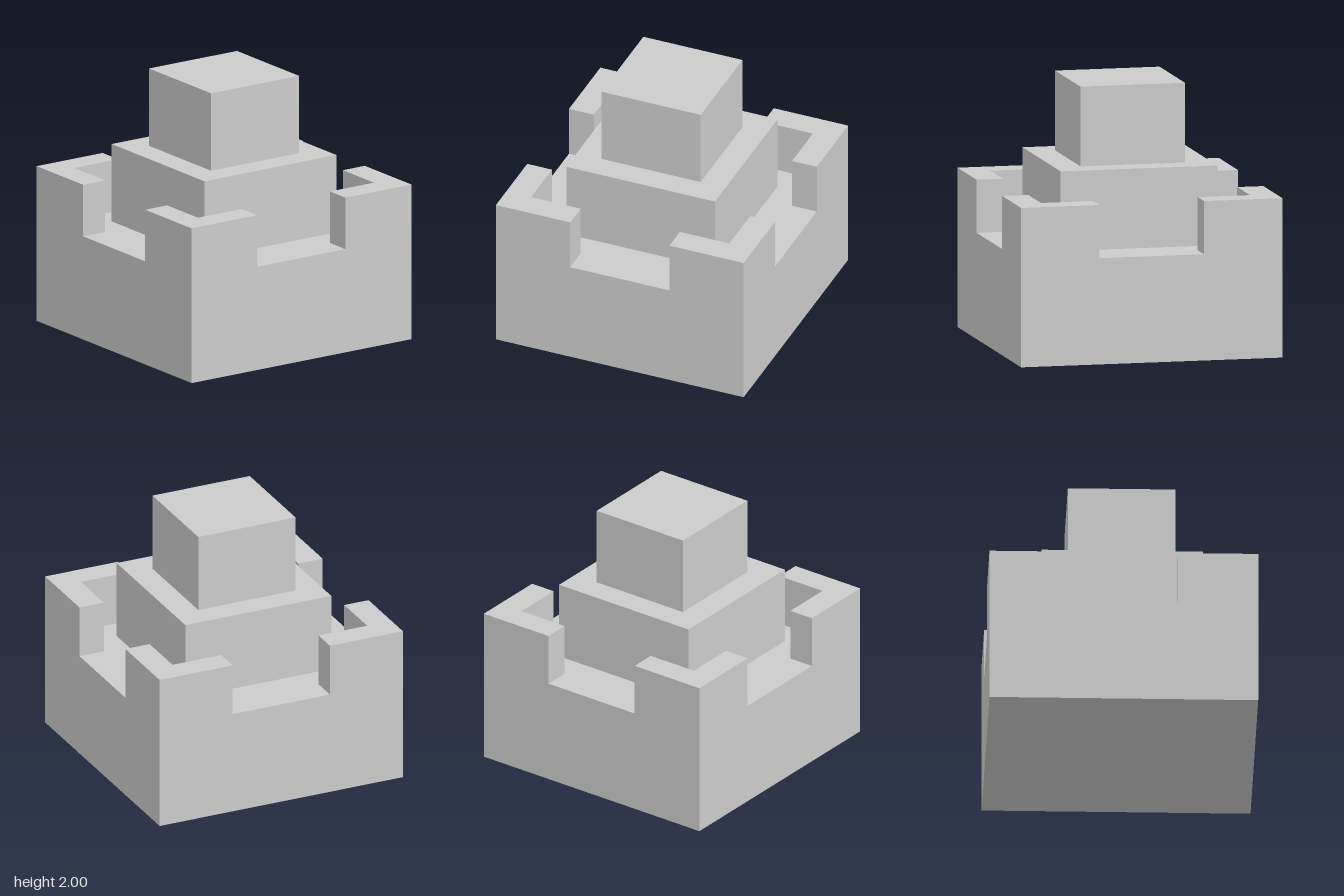
import * as THREE from 'three';

export function createModel() {
  const model = new THREE.Group();
  const material = new THREE.MeshStandardMaterial({ color: 0xcccccc, flatShading: true });

  // Square block of a given width standing between two heights
  function addBlock(name, width, bottom, top) {
    const mesh = new THREE.Mesh(new THREE.BoxGeometry(width, top - bottom, width), material);
    mesh.position.y = (bottom + top) / 2;
    mesh.name = name;
    model.add(mesh);
  }

  addBlock('base', 2, 0, 0.8);
  addBlock('innerKeep', 1.2, 0.8, 1.4);
  addBlock('tower', 0.8, 1.4, 2);

  // L-shaped corner wall, repeated at the four corners to leave a gap in each side
  const corner = new THREE.Shape(
    [[1, 1], [0.4, 1], [0.4, 0.8], [0.8, 0.8], [0.8, 0.4], [1, 0.4]].map(([x, y]) => new THREE.Vector2(x, y))
  );
  const wall = new THREE.ExtrudeGeometry(corner, { depth: 0.4, bevelEnabled: false });
  wall.rotateX(-Math.PI / 2);

  const names = ['BackLeft', 'BackRight', 'FrontRight', 'FrontLeft'];
  names.forEach((name, i) => {
    const mesh = new THREE.Mesh(wall, material);
    mesh.position.y = 0.8;
    mesh.rotation.y = (i * Math.PI) / 2;
    mesh.name = 'cornerWall' + name;
    model.add(mesh);
  });

  return model;
}
